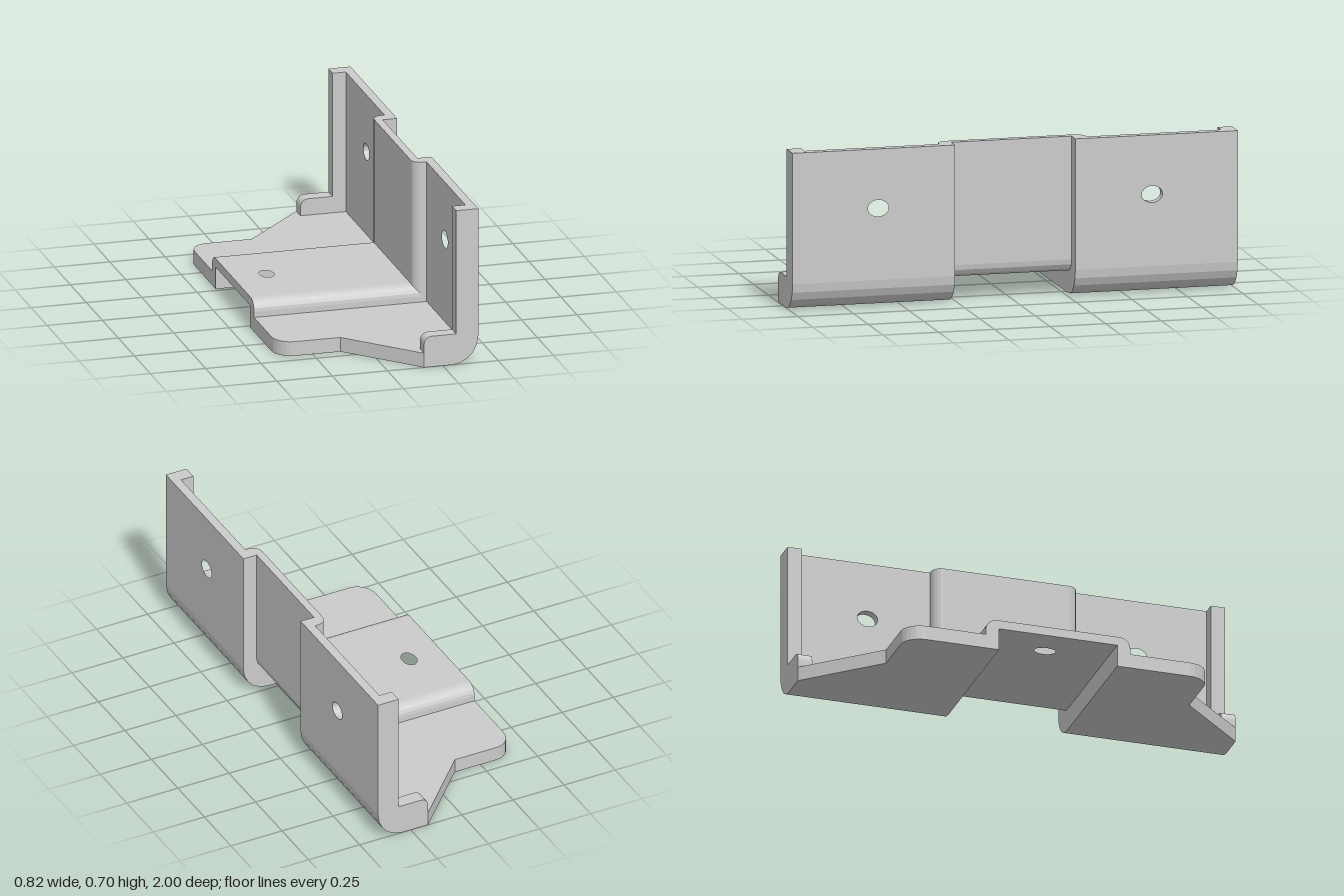
import * as THREE from 'three';

const material = new THREE.MeshStandardMaterial({ color: 0xcccccc, flatShading: true });

// Points of a quarter ellipse around (cx, cy), from angle a to b in degrees
function arc(cx, cy, rx, ry, a, b, n) {
  return Array.from({ length: n + 1 }, (_, i) => {
    const t = THREE.MathUtils.degToRad(a + ((b - a) * i) / n);
    return [cx + rx * Math.cos(t), cy + ry * Math.sin(t)];
  });
}

const hole = (cx, cy, rx, ry) => arc(cx, cy, rx, ry, 0, 360, 20).slice(0, -1);

// Extrudes an outline from 'from' to 'to' along an axis.
// Outline coordinates: (x, y) along z, (x, z) along y, (z, y) along x.
function prism(name, axis, from, to, points, cut) {
  const map = {
    x: ([z, y]) => new THREE.Vector2(-z, y),
    y: ([x, z]) => new THREE.Vector2(x, -z),
    z: ([x, y]) => new THREE.Vector2(x, y),
  }[axis];
  const shape = new THREE.Shape(points.map(map));
  if (cut) shape.holes.push(new THREE.Path(cut.map(map)));
  const geo = new THREE.ExtrudeGeometry(shape, { depth: to - from, bevelEnabled: false });
  if (axis === 'x') geo.rotateY(Math.PI / 2).translate(from, 0, 0);
  if (axis === 'y') geo.rotateX(-Math.PI / 2).translate(0, from, 0);
  if (axis === 'z') geo.translate(0, 0, from);
  const mesh = new THREE.Mesh(geo, material);
  mesh.name = name;
  return mesh;
}

const rect = (a0, a1, b0, b1) => [[a0, b0], [a1, b0], [a1, b1], [a0, b1]];

const TOP = 0.705, BACK = -0.41, FACE = 0.41;
const FLOOR = 0.065, PAD = 0.14, WALL = 0.37, RECESS = 0.31;
const Z0 = 0.27, Z1 = 0.33, ZL = 0.935, ZE = 1;

function wing(s) {
  const g = new THREE.Group();
  g.name = s > 0 ? 'frontWing' : 'rearWing';
  const span = (a, b) => (s > 0 ? [a, b] : [-b, -a]);
  const side = (pts) => pts.map(([x, z]) => [x, s * z]);
  const sideZY = (pts) => pts.map(([z, y]) => [s * z, y]);

  // Floor plate with rounded rear corner and slanted edge
  g.add(prism('floorPlate', 'y', 0, FLOOR, side([
    [0.29, Z0], [BACK, Z0],
    ...arc(-0.33, 0.6, 0.08, 0.093, 180, 90, 6),
    [-0.125, 0.693], [0.165, ZE], [0.29, ZE],
  ])));

  // Rounded bend between floor and wall
  g.add(prism('bend', 'z', ...span(Z0, ZE), [
    ...arc(0.29, 0.125, 0.12, 0.125, -90, 0, 5),
    [WALL, 0.125], [WALL, FLOOR], [0.29, FLOOR],
  ]));

  // Upright wall with a screw hole
  g.add(prism('wall', 'x', WALL, FACE, sideZY(rect(Z0, ZE, 0.125, TOP)),
    hole(s * 0.615, 0.443, 0.047, 0.037)));

  // Lip closing the outer end
  g.add(prism('endLip', 'z', ...span(ZL, ZE), [
    [0.165, FLOOR], [WALL, FLOOR], [WALL, TOP], [RECESS, TOP], [RECESS, PAD],
    ...arc(0.2, 0.105, 0.035, 0.035, 90, 180, 5),
  ]));

  // Rounded steps up to the raised pad and in to the recessed wall
  g.add(prism('floorStep', 'x', BACK, WALL, sideZY([
    [Z0, FLOOR], [Z1, FLOOR],
    ...arc(0.28, 0.09, 0.05, 0.05, 0, 90, 5), [Z0, PAD],
  ])));
  g.add(prism('wallStep', 'y', FLOOR, TOP, side([
    [WALL, Z0], [WALL, Z1],
    ...arc(0.355, 0.285, 0.045, 0.045, 90, 180, 5), [RECESS, Z0],
  ])));
  return g;
}

export function createModel() {
  const model = new THREE.Group();
  model.name = 'cornerBracket';
  model.add(wing(1), wing(-1));

  // Raised middle section: pad, bend and recessed wall
  const middle = new THREE.Group();
  middle.name = 'middleSection';
  middle.add(prism('raisedPad', 'y', 0.1, PAD, rect(BACK, 0.285, -Z0, Z0),
    hole(-0.255, -0.01, 0.032, 0.048)));
  middle.add(prism('recessedWall', 'z', -Z0, Z0, [
    ...arc(0.285, 0.16, 0.06, 0.06, -90, 0, 4),
    [0.345, TOP], [RECESS, TOP], [RECESS, PAD], [0.285, PAD],
  ]));
  model.add(middle);
  return model;
}
